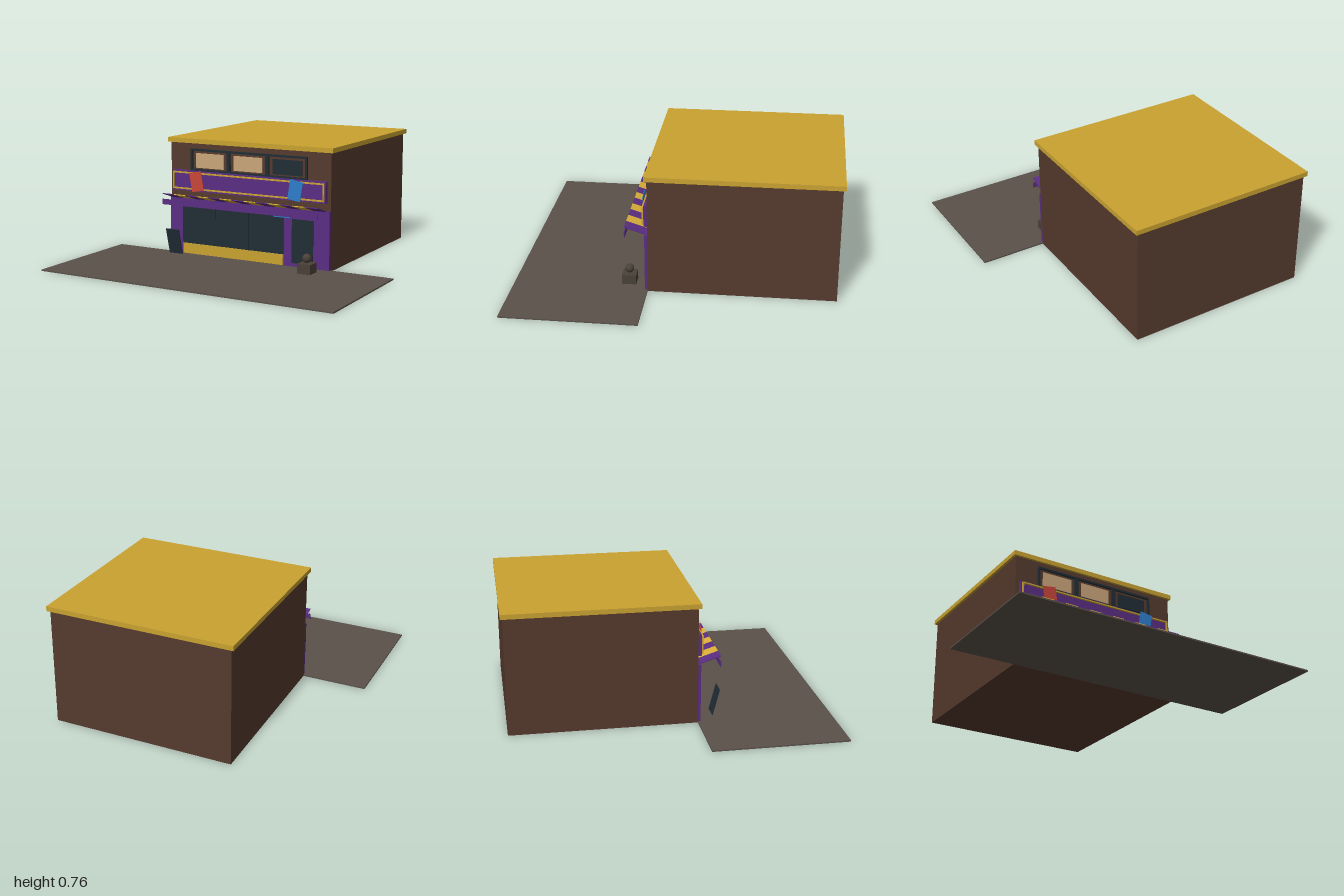
import * as THREE from 'three';

const mat = (name, color) => {
  const m = new THREE.MeshStandardMaterial({ color });
  m.name = name;
  return m;
};

export function createModel() {
  const group = new THREE.Group();
  const brown = mat('brown wall', 0x553a2d);
  const gold = mat('gold trim', 0xc9a231);
  const yellow = mat('awning yellow', 0xdbb03a);
  const purple = mat('purple paint', 0x5a2d82);
  const paving = mat('paving', 0x5a5149);
  const dark = mat('dark glass', 0x212d35);
  const tan = mat('lit window', 0xc9a67a);
  const red = mat('red flag', 0xc8463a);
  const blue = mat('blue flag', 0x2d7dca);
  const stone = mat('dark stone', 0x4a4138);

  // Box given by its extents on each axis
  const box = (name, m, x0, x1, y0, y1, z0, z1) => {
    const mesh = new THREE.Mesh(new THREE.BoxGeometry(x1 - x0, y1 - y0, z1 - z0), m);
    mesh.position.set((x0 + x1) / 2, (y0 + y1) / 2, (z0 + z1) / 2);
    mesh.name = name;
    group.add(mesh);
    return mesh;
  };

  // Rectangular border made of four bars
  const border = (name, m, x0, x1, y0, y1, z0, z1, t) => {
    box(name + 'Bottom', m, x0, x1, y0, y0 + t, z0, z1);
    box(name + 'Top', m, x0, x1, y1 - t, y1, z0, z1);
    box(name + 'Right', m, x0, x0 + t, y0 + t, y1 - t, z0, z1);
    box(name + 'Left', m, x1 - t, x1, y0 + t, y1 - t, z0, z1);
  };

  // Pavement, building and roof
  box('pavement', paving, -0.99, 0.99, 0, 0.009, 0.166, 1);
  box('building', brown, -0.575, 0.575, 0, 0.737, -0.985, 0.165);
  box('roof', gold, -0.592, 0.592, 0.735, 0.765, -1, 0.18);

  // Shopfront with window, stall riser and door
  box('shopfront', purple, -0.575, 0.575, 0.009, 0.375, 0.165, 0.183);
  box('stallRiser', gold, -0.475, 0.26, 0.012, 0.08, 0.183, 0.193);
  for (let i = 0; i < 3; i++) {
    const x = -0.478 + i * 0.2463;
    box('shopWindow', dark, x, x + 0.2443, 0.08, 0.345, 0.183, 0.189);
  }
  for (let i = 1; i < 3; i++) {
    const x = -0.479 + i * 0.2463;
    box('mullion', dark, x - 0.003, x + 0.003, 0.08, 0.345, 0.183, 0.193);
  }
  box('door', dark, 0.32, 0.466, 0.032, 0.31, 0.183, 0.189);
  box('hangingSign', blue, 0.195, 0.315, 0.316, 0.35, 0.192, 0.202);

  // Striped awning, rising outwards, with a valance below its front edge
  const rise = Math.atan2(0.04, 0.125);
  for (let i = 0; i < 13; i++) {
    const stripe = new THREE.Mesh(
      new THREE.BoxGeometry(0.085, 0.005, 0.132), i % 2 ? yellow : purple);
    stripe.position.set((i - 6) * 0.085, 0.396, 0.246);
    stripe.rotation.x = -rise;
    stripe.name = 'awningStripe';
    group.add(stripe);
  }
  box('valance', purple, -0.555, 0.553, 0.346, 0.381, 0.306, 0.31);

  // Fascia board with gold border
  box('fascia', purple, -0.55, 0.55, 0.425, 0.558, 0.165, 0.19);
  border('fasciaTrim', gold, -0.543, 0.543, 0.436, 0.549, 0.185, 0.202, 0.009);

  // Tilted flags on the fascia
  for (const [name, m, side] of [['redFlag', red, -1], ['blueFlag', blue, 1]]) {
    const flag = box(name, m, side * 0.355 - 0.044, side * 0.355 + 0.044,
      0.431, 0.556, 0.212, 0.216);
    flag.rotation.z = -side * 0.17;
  }

  // Upper windows: two lit, one dark
  for (let i = 0; i < 3; i++) {
    const x = -0.281 + i * 0.279;
    border('windowFrame', dark, x - 0.14, x + 0.14, 0.556, 0.7, 0.165, 0.178, 0.013);
    box('windowPane', i < 2 ? tan : dark, x - 0.103, x + 0.103, 0.577, 0.672, 0.165, 0.17);
  }

  // Leaning board on the pavement
  const board = box('pavementBoard', dark, -0.531, -0.434, 0.021, 0.191, 0.284, 0.29);
  board.rotation.x = 0.25;

  // Pedestal with a ball and small cap
  box('pedestal', stone, 0.432, 0.52, 0.009, 0.07, 0.246, 0.334);
  const ball = new THREE.Mesh(new THREE.SphereGeometry(0.028, 16, 12), stone);
  ball.position.set(0.476, 0.1, 0.291);
  ball.name = 'ball';
  group.add(ball);

  return group;
}
